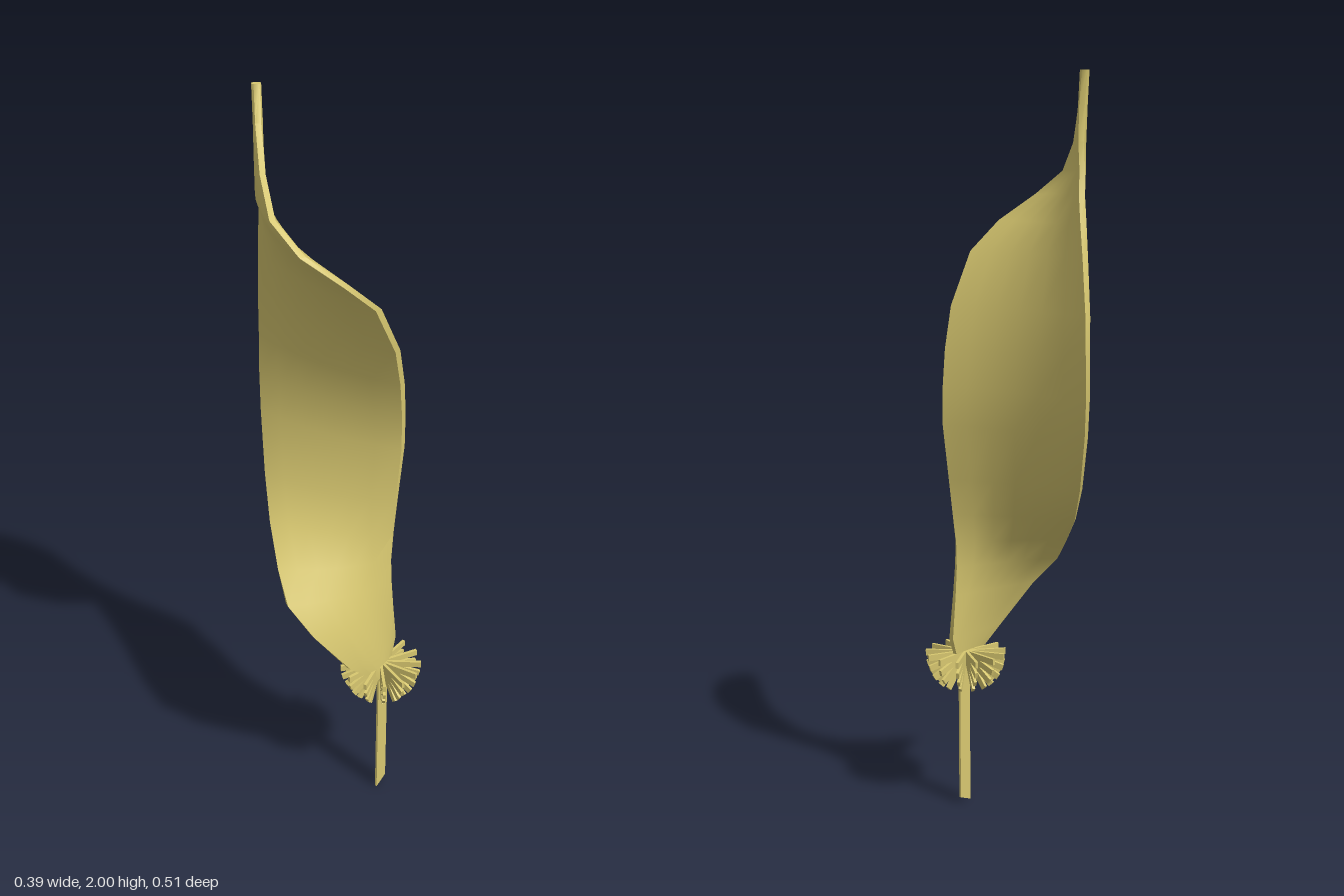
import * as THREE from 'three';
import { toCreasedNormals } from 'three/addons/utils/BufferGeometryUtils.js';

const material = new THREE.MeshStandardMaterial({ color: 0xd8c870 });

// Ribbon lofted through rows of [edge A xyz, edge B xyz, thickness].
// cup bows each cross-section sideways, swell thickens its middle.
function ribbon(name, rows, across, cup, swell) {
  const pos = [], index = [];
  const ring = 2 * (across + 1);
  for (const [edgeA, edgeB, thick] of rows) {
    const a = new THREE.Vector3(...edgeA), b = new THREE.Vector3(...edgeB);
    const n = new THREE.Vector3(b.z - a.z, 0, a.x - b.x);
    const width = n.length();
    n.normalize();
    for (let i = 0; i < ring; i++) {
      const front = i <= across;
      const u = (front ? i : ring - 1 - i) / across;
      const arch = 4 * u * (1 - u);
      const half = thick / 2 * (1 + swell * arch);
      const p = a.clone().lerp(b, u).addScaledVector(n, cup * width * arch + (front ? half : -half));
      pos.push(p.x, p.y, p.z);
    }
  }
  const top = (rows.length - 1) * ring;
  for (let s = 0; s < top; s += ring) {
    for (let i = 0; i < ring; i++) {
      const p = s + i, q = s + (i + 1) % ring;
      index.push(p, p + ring, q, q, p + ring, q + ring);
    }
  }
  // End caps, strip by strip
  for (let i = 0; i < across; i++) {
    const j = ring - 1 - i;
    index.push(i, i + 1, j, i + 1, j - 1, j);
    index.push(top + i, top + j, top + i + 1, top + i + 1, top + j, top + j - 1);
  }
  const geo = new THREE.BufferGeometry();
  geo.setAttribute('position', new THREE.Float32BufferAttribute(pos, 3));
  geo.setIndex(index);
  const mesh = new THREE.Mesh(toCreasedNormals(geo, 1), material);
  mesh.name = name;
  return mesh;
}

export function createModel() {
  const model = new THREE.Group();
  model.name = 'twistedLeaf';

  // Flat stem with a slanted cut at the foot
  model.add(ribbon('stem', [
    [[0.1, 0.018, 0.14], [0.067, 0, 0.165], 0.006],
    [[0.1, 0.43, 0.14], [0.067, 0.43, 0.165], 0.006],
  ], 1, 0, 0));

  // Cupped blade that widens, twists about half a turn and ends in a narrow tip
  model.add(ribbon('blade', [
    [[0.105, 0.41, 0.132], [0.06, 0.41, 0.172], 0.01],
    [[0.13, 0.5, 0.104], [-0.03, 0.5, 0.21], 0.014],
    [[0.118, 0.62, 0.115], [-0.125, 0.62, 0.2], 0.014],
    [[0.113, 0.7, 0.115], [-0.182, 0.7, 0.15], 0.016],
    [[0.113, 0.77, 0.112], [-0.188, 0.77, 0.075], 0.016],
    [[0.12, 0.85, 0.108], [-0.18, 0.85, -0.035], 0.018],
    [[0.13, 0.95, 0.1], [-0.17, 0.95, -0.12], 0.018],
    [[0.146, 1.1, 0.092], [-0.158, 1.1, -0.2], 0.018],
    [[0.143, 1.2, 0.1], [-0.152, 1.2, -0.23], 0.018],
    [[0.132, 1.3, 0.117], [-0.146, 1.3, -0.246], 0.018],
    [[0.108, 1.41, 0.148], [-0.144, 1.41, -0.248], 0.018],
    [[0.044, 1.55, 0.193], [-0.146, 1.55, -0.215], 0.018],
    [[-0.04, 1.63, 0.214], [-0.148, 1.63, -0.19], 0.018],
    [[-0.135, 1.7, 0.185], [-0.15, 1.7, -0.168], 0.016],
    [[-0.184, 1.76, 0.1], [-0.155, 1.76, -0.152], 0.014],
    [[-0.18, 1.83, -0.01], [-0.155, 1.83, -0.14], 0.014],
    [[-0.168, 1.92, -0.1], [-0.156, 1.92, -0.142], 0.014],
    [[-0.16, 2, -0.142], [-0.157, 2, -0.158], 0.014],
  ], 6, 0.05, 0.7));

  // Bowl of thin upright slats fanning out below the blade
  const bowl = new THREE.Group();
  bowl.name = 'spikeBowl';
  bowl.position.set(0.08, 0.443, 0.145);
  const length = 0.112, perRing = 13;
  const slat = new THREE.BoxGeometry(length, 0.017, 0.008).translate(length / 2, 0, 0);
  for (const tilt of [0, -0.28, -0.56, -0.84]) {
    for (let i = 0; i < perRing; i++) {
      const spike = new THREE.Mesh(slat, material);
      spike.name = 'spike';
      spike.rotation.set(0, -0.31 - i * Math.PI * 2 / perRing, tilt, 'YXZ');
      bowl.add(spike);
    }
  }
  model.add(bowl);
  return model;
}
